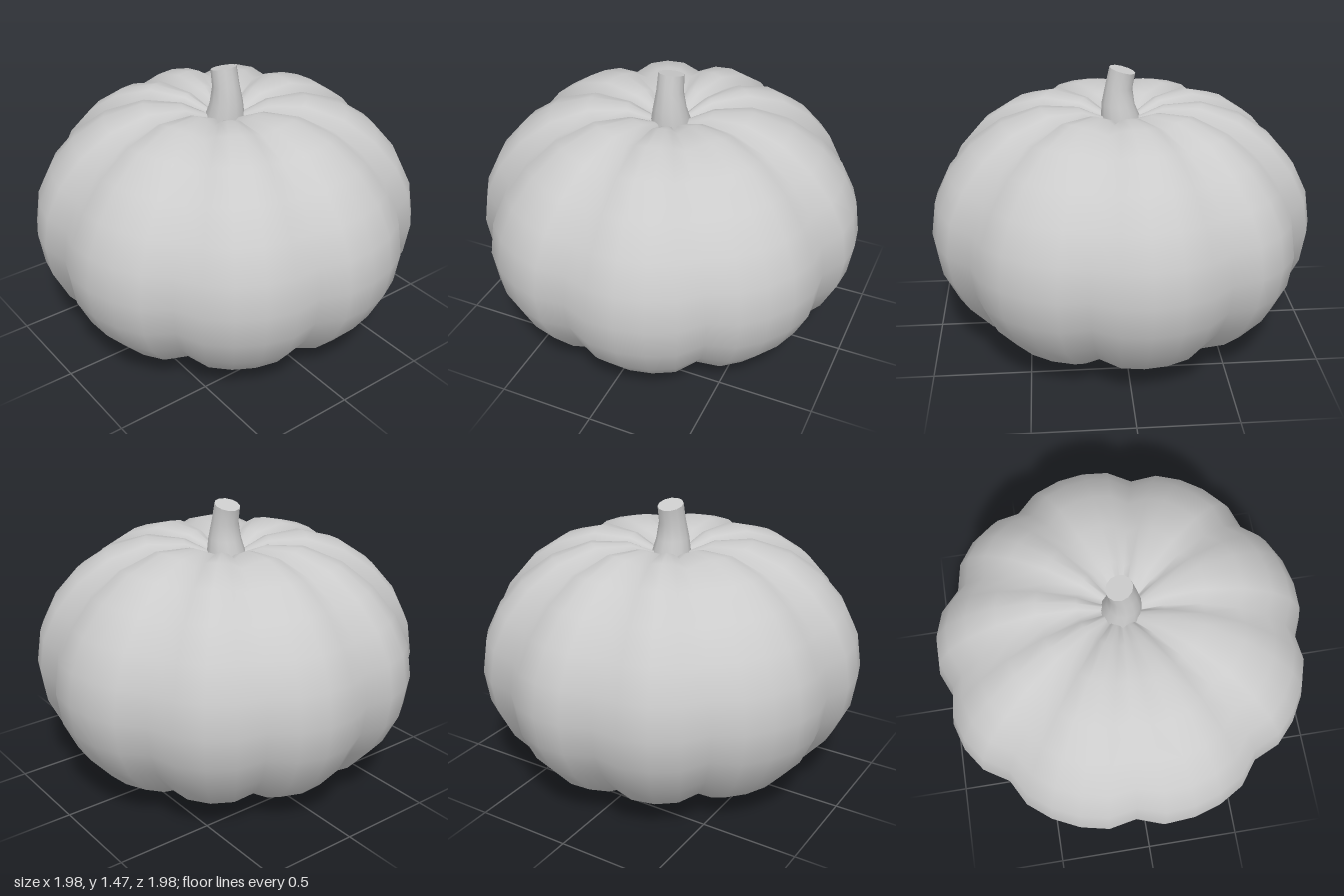
import * as THREE from 'three';
import { mergeVertices } from 'three/addons/utils/BufferGeometryUtils.js';

const material = new THREE.MeshStandardMaterial({ color: 0xcccccc });
const SEGMENTS = 42;
const MIDDLE = 0.645;
// Meridians that carry a groove between two ribs
const GROOVES = [4, 9, 14, 18, 22, 26, 31, 36, 41];

// Rib swell of a meridian: deep at a groove, full in the middle of a rib
function ribScale(i) {
  const gap = Math.min(...GROOVES.map((g) => {
    const d = Math.abs(g - i);
    return Math.min(d, SEGMENTS - d);
  }));
  return gap === 0 ? 0.944 : gap === 1 ? 0.994 : 1.006;
}

// Weld a geometry and give it smooth normals
function smooth(geometry) {
  geometry.deleteAttribute('uv');
  geometry.deleteAttribute('normal');
  const welded = mergeVertices(geometry, 1e-4);
  welded.computeVertexNormals();
  return welded;
}

// Squat lathe body, each meridian scaled from the centre into ribs and grooves
function createBody() {
  const profile = [
    [0, 0.015], [0.22, 0.004], [0.415, 0.02], [0.615, 0.08], [0.775, 0.18], [0.895, 0.32],
    [0.97, 0.478], [0.995, MIDDLE], [0.97, 0.815], [0.895, 0.97], [0.775, 1.11],
    [0.615, 1.22], [0.415, 1.282], [0.22, 1.268], [0.1, 1.215], [0, 1.19],
  ].map(([r, y]) => new THREE.Vector2(r, y));
  const geometry = new THREE.LatheGeometry(profile, SEGMENTS);
  const pos = geometry.attributes.position;
  for (let k = 0; k < pos.count; k++) {
    const r = profile[k % profile.length].x;
    const s = r === 0 ? 0.98 : ribScale(Math.floor(k / profile.length) % SEGMENTS);
    pos.setXYZ(k, pos.getX(k) * s, MIDDLE + (pos.getY(k) - MIDDLE) * s, pos.getZ(k) * s);
  }
  const body = new THREE.Mesh(smooth(geometry), material);
  body.name = 'ribbedBody';
  return body;
}

// Tapered stalk that leans back, with a slanted cut end
function createStem() {
  const stem = new THREE.Group();
  stem.name = 'stem';
  const sides = 12;
  // Each ring: height, radius, z offset, slope of the ring along z
  const rings = [
    [1.15, 0.105, 0, 0], [1.21, 0.1, 0, 0], [1.28, 0.085, 0.012, 0.06],
    [1.37, 0.069, 0.008, 0.16], [1.457, 0.066, -0.01, 0.27],
  ];
  const geometry = new THREE.LatheGeometry(rings.map(([y, r]) => new THREE.Vector2(r, y)), sides);
  const pos = geometry.attributes.position;
  for (let k = 0; k < pos.count; k++) {
    const [y, , offset, slope] = rings[k % rings.length];
    const z = pos.getZ(k);
    pos.setY(k, y + z * slope);
    pos.setZ(k, z + offset);
  }
  const stalk = new THREE.Mesh(smooth(geometry), material);
  stalk.name = 'stalk';

  // Flat disc sheared to the slant of the cut
  const [y, r, offset, slope] = rings[rings.length - 1];
  const disc = new THREE.CircleGeometry(r, sides).rotateX(-Math.PI / 2);
  const dp = disc.attributes.position;
  for (let k = 0; k < dp.count; k++) {
    const z = dp.getZ(k);
    dp.setXYZ(k, dp.getX(k), y + z * slope, z + offset);
  }
  disc.computeVertexNormals();
  const cut = new THREE.Mesh(disc, material);
  cut.name = 'stemCutEnd';
  stem.add(stalk, cut);
  return stem;
}

export function createModel() {
  const model = new THREE.Group();
  model.name = 'pumpkin';
  model.add(createBody(), createStem());
  return model;
}
